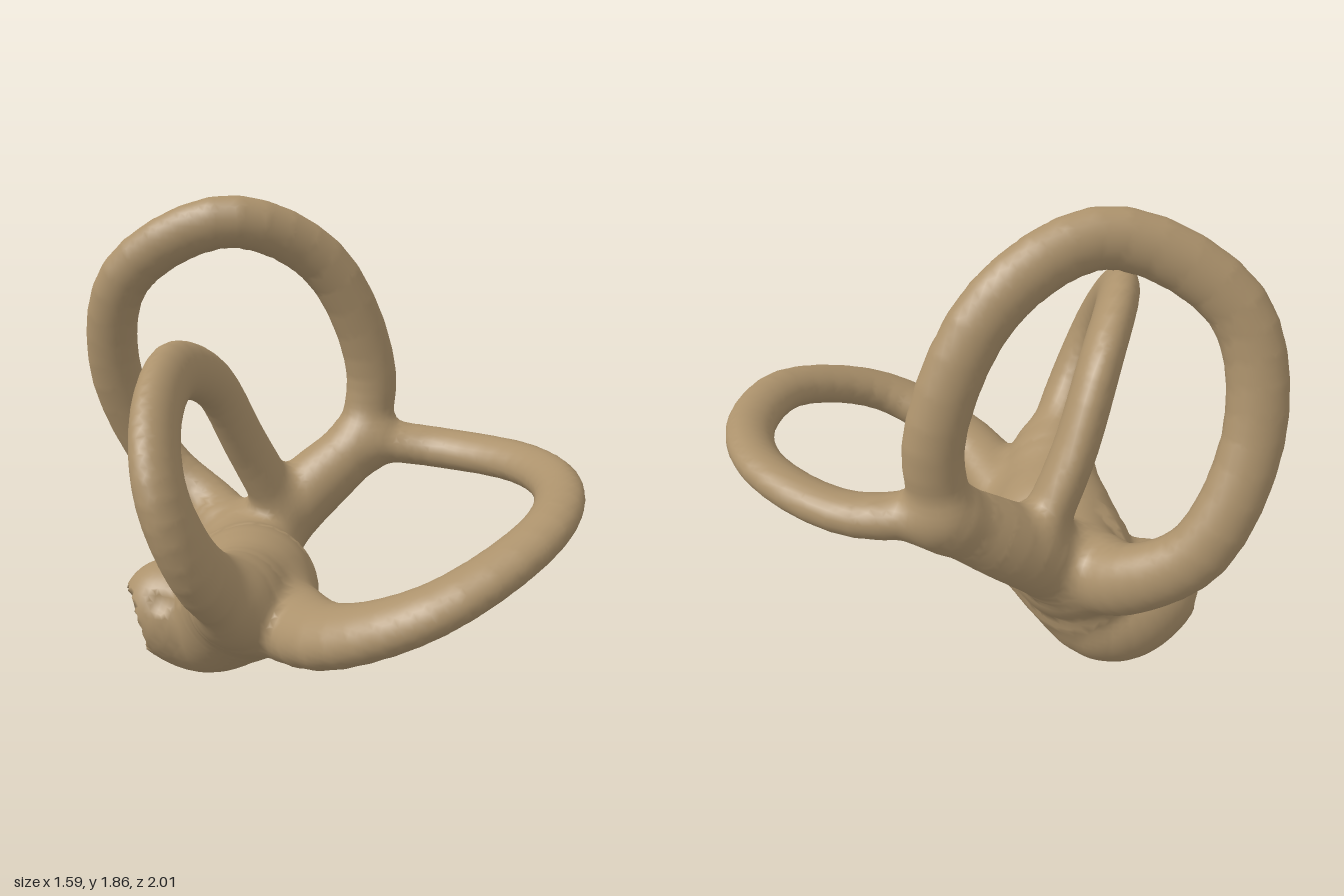
import * as THREE from 'three';

const bone = new THREE.MeshStandardMaterial({ color: 0xac926c });
bone.name = 'tan bone';

// A limb is a smooth tapered path, thinned by "squash" across the plane it curls in.
// Its radius runs from start to end, holding at middle for most of the way.
function makeLimb(name, squash, [start, middle, end], path) {
  const corners = path.map((p) => new THREE.Vector3(...p));
  const normal = new THREE.Vector3();
  for (let i = 1; i < corners.length - 1; i++) {
    const side = corners[i].clone().sub(corners[0]);
    normal.add(side.cross(corners[i + 1].clone().sub(corners[0])));
  }
  normal.normalize();

  const curve = new THREE.CatmullRomCurve3(corners);
  const steps = 4 * path.length;
  const samples = curve.getPoints(steps).map((p, i) => {
    const u = i / steps;
    return { p, r: middle + (start - middle) * (1 - u) ** 5 + (end - middle) * u ** 5 };
  });
  const segments = samples.slice(1).map((b, i) => {
    const a = samples[i], d = b.p.clone().sub(a.p);
    return { a: a.p, d, len2: d.lengthSq(), r: a.r, dr: b.r - a.r };
  });
  return { name, segments, normal, extra: squash - 1 };
}

// Three looping canals
const lateral = makeLimb('lateralCanal', 1.3, [0.1, 0.085, 0.17], [
  [0.56, 0.9, -0.1], [0.7, 0.88, 0.2], [0.66, 0.9, 0.58], [0.47, 0.9, 0.81],
  [0.12, 0.86, 0.915], [-0.26, 0.7, 0.76], [-0.35, 0.54, 0.44], [-0.15, 0.42, 0.02]]);
const anterior = makeLimb('anteriorCanal', 1.2, [0.1, 0.095, 0.16], [
  [0.57, 0.88, -0.09], [0.59, 1.2, -0.08], [0.42, 1.62, -0.2], [0.14, 1.775, -0.43], [-0.04, 1.56, -0.79],
  [-0.01, 1.18, -0.905], [0.15, 0.76, -0.82], [0.2, 0.58, -0.6], [0.14, 0.5, -0.42]]);
const posterior = makeLimb('posteriorCanal', 1.4, [0.15, 0.102, 0.12], [
  [-0.32, 0.52, 0.02], [-0.6, 0.76, 0.06], [-0.685, 1.02, 0], [-0.58, 1.22, -0.12],
  [-0.35, 1.325, -0.25], [-0.08, 1.22, -0.32], [0.1, 0.95, -0.32], [0.24, 0.68, -0.27]]);

// Body that joins them
const vestibule = makeLimb('vestibule', 1, [0.19, 0.225, 0.25], [
  [-0.12, 0.28, -0.54], [-0.03, 0.235, -0.42], [-0.08, 0.43, -0.15]]);
const shoulder = makeLimb('shoulder', 1, [0.24, 0.195, 0.15], [[-0.06, 0.43, -0.18], [-0.38, 0.55, 0.03]]);
const trunk = makeLimb('commonTrunk', 1, [0.22, 0.14, 0.1], [
  [0.06, 0.42, -0.32], [0.28, 0.62, -0.27], [0.57, 0.9, -0.08]]);

const limbs = [lateral, anterior, posterior, vestibule, shoulder, trunk];

// Openings scooped out of the back of the vestibule: x, y, z, radius
const openings = [[-0.3, 0.22, -0.68, 0.16], [-0.35, 0.42, -0.42, 0.12]];

function limbDistance({ segments, normal: n, extra }, x, y, z) {
  let best = Infinity;
  for (const { a, d, len2, r, dr } of segments) {
    let px = x - a.x, py = y - a.y, pz = z - a.z;
    const t = Math.max(0, Math.min(1, (px * d.x + py * d.y + pz * d.z) / len2));
    px -= d.x * t; py -= d.y * t; pz -= d.z * t;
    const off = (px * n.x + py * n.y + pz * n.z) * extra;
    px += n.x * off; py += n.y * off; pz += n.z * off;
    best = Math.min(best, Math.sqrt(px * px + py * py + pz * pz) - r - dr * t);
  }
  return best;
}

// Blend all limbs smoothly, then cut the openings
function field(x, y, z) {
  const blend = 0.07;
  let f = 10;
  for (const limb of limbs) {
    const g = limbDistance(limb, x, y, z);
    const h = Math.max(blend - Math.abs(f - g), 0) / blend;
    f = Math.min(f, g) - h * h * blend / 4;
  }
  for (const [cx, cy, cz, r] of openings) f = Math.max(f, r - Math.hypot(x - cx, y - cy, z - cz));
  return f;
}

function gradient({ x, y, z }) {
  const e = 0.004;
  return new THREE.Vector3(
    field(x + e, y, z) - field(x - e, y, z),
    field(x, y + e, z) - field(x, y - e, z),
    field(x, y, z + e) - field(x, y, z - e)).divideScalar(2 * e);
}

// Wrap the blended form in a net of quads, one vertex per crossed grid cell
function buildSurface() {
  const h = 0.026, min = new THREE.Vector3(-0.95, -0.12, -1.12), size = [74, 82, 86];
  const stride = [1, size[0], size[0] * size[1]];
  const values = new Float32Array(size[0] * size[1] * size[2]).fill(1);
  const forGrid = (from, visit) => {
    for (let k = from; k < size[2] - 1; k++)
      for (let j = from; j < size[1] - 1; j++)
        for (let i = from; i < size[0] - 1; i++) visit(i + j * stride[1] + k * stride[2], i, j, k);
  };
  forGrid(0, (id, i, j, k) => { values[id] = field(min.x + i * h, min.y + j * h, min.z + k * h); });

  const vertexOf = new Map(), points = [], normals = [], owners = [];
  const corner = (c) => (c & 1) * stride[0] + ((c >> 1) & 1) * stride[1] + (c >> 2) * stride[2];
  forGrid(0, (id, i, j, k) => {
    const p = new THREE.Vector3();
    let count = 0;
    for (let c = 0; c < 8; c++) for (let bit = 1; bit < 8; bit *= 2) {
      if (c & bit) continue;
      const va = values[id + corner(c)], vb = values[id + corner(c | bit)];
      if ((va < 0) === (vb < 0)) continue;
      const t = va / (va - vb);
      p.x += (c & 1) + (bit === 1 ? t : 0);
      p.y += ((c >> 1) & 1) + (bit === 2 ? t : 0);
      p.z += (c >> 2) + (bit === 4 ? t : 0);
      count++;
    }
    if (!count) return;
    p.divideScalar(count).add(new THREE.Vector3(i, j, k)).multiplyScalar(h).add(min);
    // pull the vertex onto the true surface
    const g = gradient(p);
    p.addScaledVector(g, -field(p.x, p.y, p.z) / Math.max(g.lengthSq(), 0.5));
    const d = limbs.map((l) => limbDistance(l, p.x, p.y, p.z));
    vertexOf.set(id, points.length);
    points.push(p);
    normals.push(gradient(p).normalize());
    owners.push(limbs[d.indexOf(Math.min(...d))].name);
  });

  // each quad belongs to the limb nearest its first corner
  const faces = {};
  forGrid(1, (id) => {
    for (let axis = 0; axis < 3; axis++) {
      const inside = values[id] < 0;
      if (inside === (values[id + stride[axis]] < 0)) continue;
      const u = stride[(axis + 1) % 3], v = stride[(axis + 2) % 3];
      const q = [id, id - u, id - u - v, id - v].map((c) => vertexOf.get(c));
      if (!inside) q.reverse();
      (faces[owners[q[0]]] ||= []).push(q[0], q[1], q[2], q[0], q[2], q[3]);
    }
  });
  return { points, normals, faces };
}

export function createModel() {
  const group = new THREE.Group();
  group.name = 'innerEarLabyrinth';
  const { points, normals, faces } = buildSurface();
  for (const [name, list] of Object.entries(faces)) {
    const geometry = new THREE.BufferGeometry().setFromPoints(list.map((i) => points[i]));
    const directions = list.flatMap((i) => normals[i].toArray());
    geometry.setAttribute('normal', new THREE.Float32BufferAttribute(directions, 3));
    const mesh = new THREE.Mesh(geometry, bone);
    mesh.name = name;
    group.add(mesh);
  }
  return group;
}
